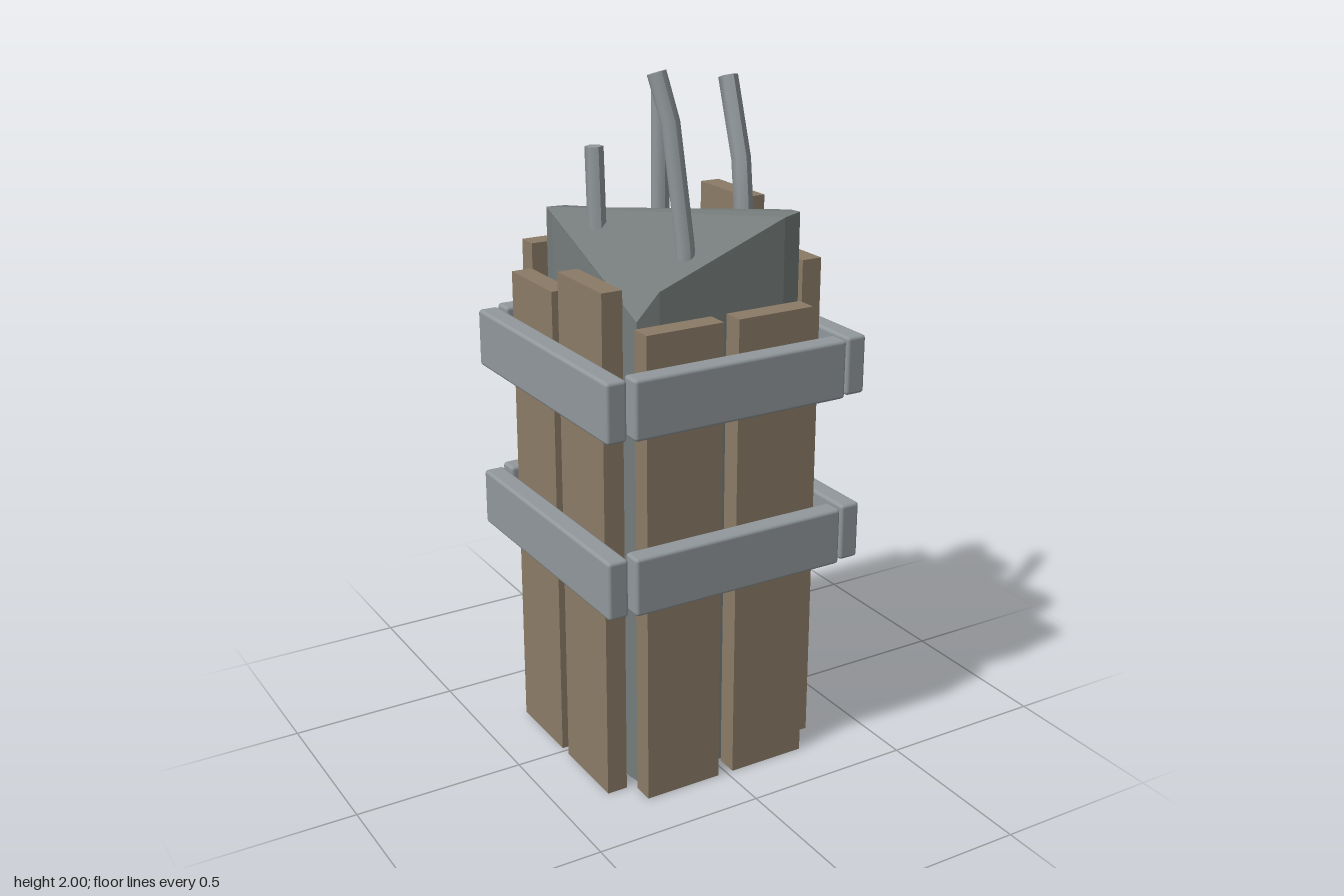
import * as THREE from 'three';
import { RoundedBoxGeometry } from 'three/addons/geometries/RoundedBoxGeometry.js';

const material = (name, color) => {
  const m = new THREE.MeshStandardMaterial({ color });
  m.name = name;
  return m;
};

export function createModel() {
  const wood = material('wood', 0x8b7b66);
  const steel = material('steel', 0x91989b);
  const concrete = material('concrete', 0x757c7b);
  const group = new THREE.Group();
  group.name = 'castColumn';

  const add = (name, geometry, mat) => {
    const mesh = new THREE.Mesh(geometry, mat);
    mesh.name = name;
    group.add(mesh);
    return mesh;
  };

  // Concrete core: chamfered outline [x, z, top height], starting at the back left corner
  const outline = [
    [-0.243, -0.245, 1.585], [-0.253, -0.19, 1.575], [-0.253, 0.2, 1.42],
    [-0.243, 0.26, 1.38], [-0.18, 0.27, 1.455], [0.21, 0.27, 1.605],
    [0.265, 0.26, 1.612], [0.275, 0.2, 1.605], [0.275, -0.19, 1.52],
    [0.265, -0.24, 1.5], [0.21, -0.255, 1.515], [-0.18, -0.255, 1.58],
  ];
  const positions = [];
  const top = (i) => [outline[i][0], outline[i][2], outline[i][1]];
  const base = (i) => [outline[i][0], 0, outline[i][1]];
  const tri = (...corners) => corners.forEach((c) => positions.push(...c));
  const count = outline.length;
  for (let i = 0; i < count; i++) {
    const j = (i + 1) % count;
    tri(base(i), base(j), top(j));
    tri(base(i), top(j), top(i));
    if (i > 0 && j > 0) {
      tri(top(0), top(i), top(j)); // sloped top, fanned along the diagonal ridge
      tri(base(0), base(j), base(i));
    }
  }
  const core = new THREE.BufferGeometry();
  core.setAttribute('position', new THREE.Float32BufferAttribute(positions, 3));
  core.computeVertexNormals();
  add('concreteCore', core, concrete);

  // Formwork planks: [name, x0, x1, z0, z1, height]
  const planks = [
    ['frontPlankRight', -0.262, -0.028, 0.282, 0.345, 1.37],
    ['frontPlankLeft', 0.02, 0.256, 0.282, 0.345, 1.37],
    ['backPlankRight', -0.272, -0.028, -0.345, -0.284, 1.475],
    ['backPlankLeft', 0.01, 0.256, -0.345, -0.284, 1.41],
    ['leftPlankFront', 0.28, 0.341, 0.012, 0.258, 1.475],
    ['leftPlankBack', 0.28, 0.341, -0.27, -0.025, 1.595],
    ['rightPlankFront', -0.348, -0.287, 0.022, 0.265, 1.475],
    ['rightPlankBack', -0.348, -0.287, -0.26, -0.016, 1.41],
  ];
  for (const [name, x0, x1, z0, z1, h] of planks) {
    add(name, new THREE.BoxGeometry(x1 - x0, h, z1 - z0), wood)
      .position.set((x0 + x1) / 2, h / 2, (z0 + z1) / 2);
  }

  // Two rings of steel clamps
  for (const [ring, y] of [['lower', 0.698], ['upper', 1.195]]) {
    for (const s of [-1, 1]) {
      add(ring + (s > 0 ? 'FrontBand' : 'BackBand'),
        new RoundedBoxGeometry(0.66, 0.168, 0.061, 2, 0.01), steel)
        .position.set(0, y, s * 0.375);
      add(ring + (s > 0 ? 'LeftBand' : 'RightBand'),
        new RoundedBoxGeometry(0.061, 0.168, 0.765, 2, 0.01), steel)
        .position.set(s * 0.375, y, 0.008);
    }
  }

  // Reinforcing bars: a cylinder whose rings follow a bent path
  const bar = (name, radius, sides, path) => {
    const last = path.length - 1;
    const g = new THREE.CylinderGeometry(radius, radius, 1, sides, last);
    const p = g.attributes.position;
    for (let i = 0; i < p.count; i++) {
      const k = Math.round((p.getY(i) + 0.5) * last);
      const [x, y, z] = path[k];
      const a = path[Math.max(k - 1, 0)], b = path[Math.min(k + 1, last)];
      const ox = p.getX(i), oz = p.getZ(i);
      const tilt = ((b[0] - a[0]) * ox + (b[2] - a[2]) * oz) / (b[1] - a[1]);
      p.setXYZ(i, x + ox, y - tilt, z + oz);
    }
    g.computeVertexNormals();
    add(name, g, steel);
  };
  bar('frontRightBar', 0.025, 12, [[-0.055, 1.42, 0.205], [-0.06, 1.55, 0.2], [-0.083, 1.87, 0.163], [-0.107, 1.995, 0.133]]);
  bar('backRightBar', 0.026, 6, [[-0.172, 1.45, -0.075], [-0.174, 1.775, -0.087]]);
  bar('backLeftBar', 0.026, 12, [[0.088, 1.45, -0.18], [0.088, 1.917, -0.18]]);
  bar('frontLeftBar', 0.027, 6, [[0.2, 1.45, 0.085], [0.2, 1.62, 0.079], [0.2, 1.73, 0.066], [0.2, 1.945, -0.005]]);

  return group;
}
